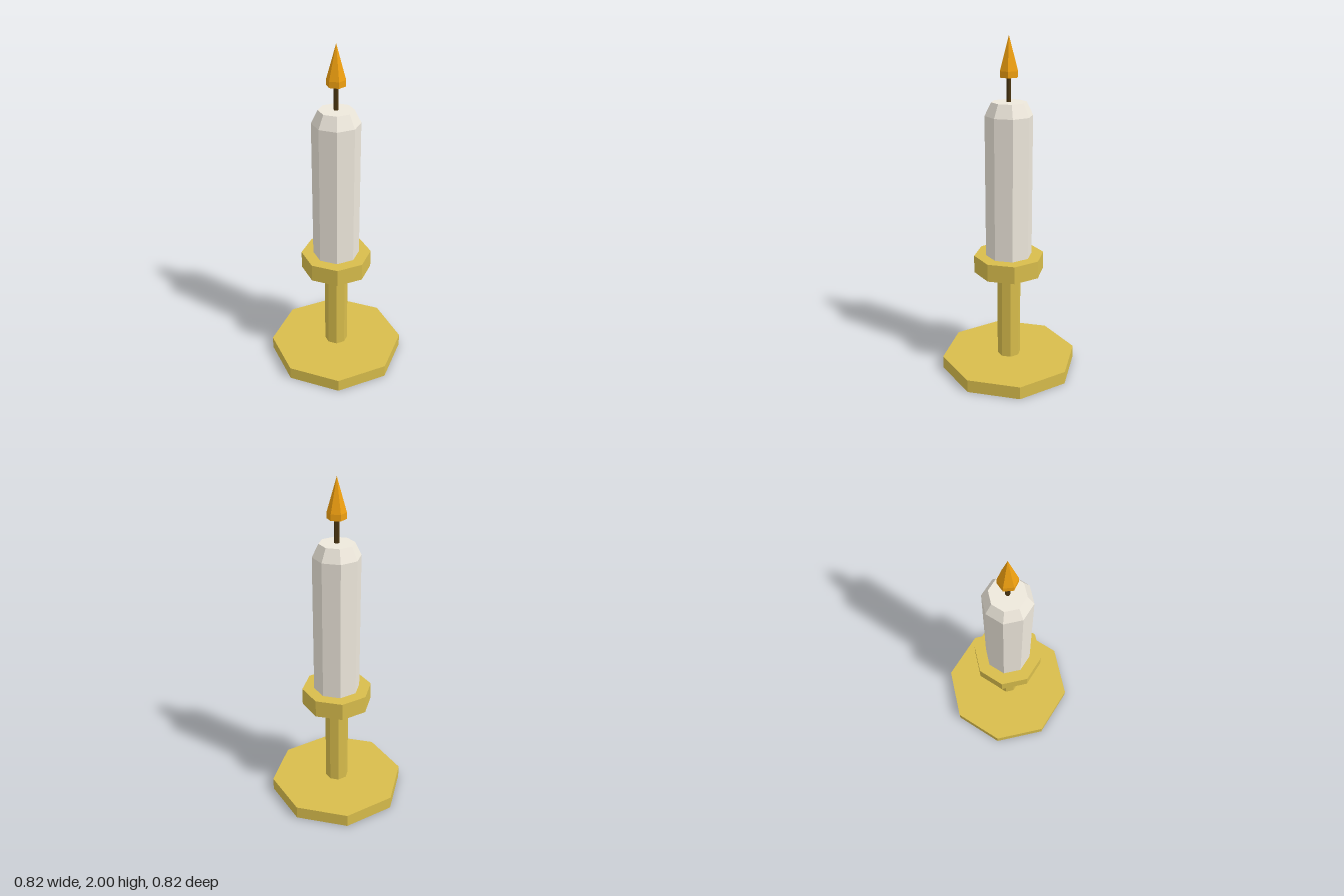
import * as THREE from 'three';

const material = (color) => new THREE.MeshStandardMaterial({ color, flatShading: true });

export function createModel() {
  const model = new THREE.Group();
  const brass = material(0xd8bd4c);
  const wax = material(0xeee8dc);
  const char = material(0x4a3510);
  const fire = material(0xf0a010);

  // Upright faceted section between two heights
  const section = (name, mat, sides, y0, y1, r0, r1 = r0, open = false) => {
    const geometry = new THREE.CylinderGeometry(r1, r0, y1 - y0, sides, 1, open);
    const mesh = new THREE.Mesh(geometry, mat);
    mesh.name = name;
    mesh.position.y = (y0 + y1) / 2;
    model.add(mesh);
  };

  // Holder
  section('base', brass, 8, 0, 0.078, 0.41);
  section('stem', brass, 8, 0.078, 0.63, 0.07);
  section('cup', brass, 8, 0.63, 0.735, 0.208);

  // Candle with a bevelled top, and its wick
  const candle = new THREE.Mesh(new THREE.LatheGeometry([
    new THREE.Vector2(0.137, 0.735),
    new THREE.Vector2(0.137, 1.565),
    new THREE.Vector2(0.1, 1.64),
    new THREE.Vector2(0, 1.64),
  ], 8), wax);
  candle.name = 'candle';
  model.add(candle);
  section('wick', char, 6, 1.64, 1.78, 0.014);

  // Flame: short six-sided collar under a pointed tip
  const flame = new THREE.Mesh(new THREE.LatheGeometry([
    new THREE.Vector2(0, 1.775),
    new THREE.Vector2(0.054, 1.775),
    new THREE.Vector2(0.054, 1.81),
    new THREE.Vector2(0, 2),
  ], 6), fire);
  flame.name = 'flame';
  model.add(flame);

  return model;
}
